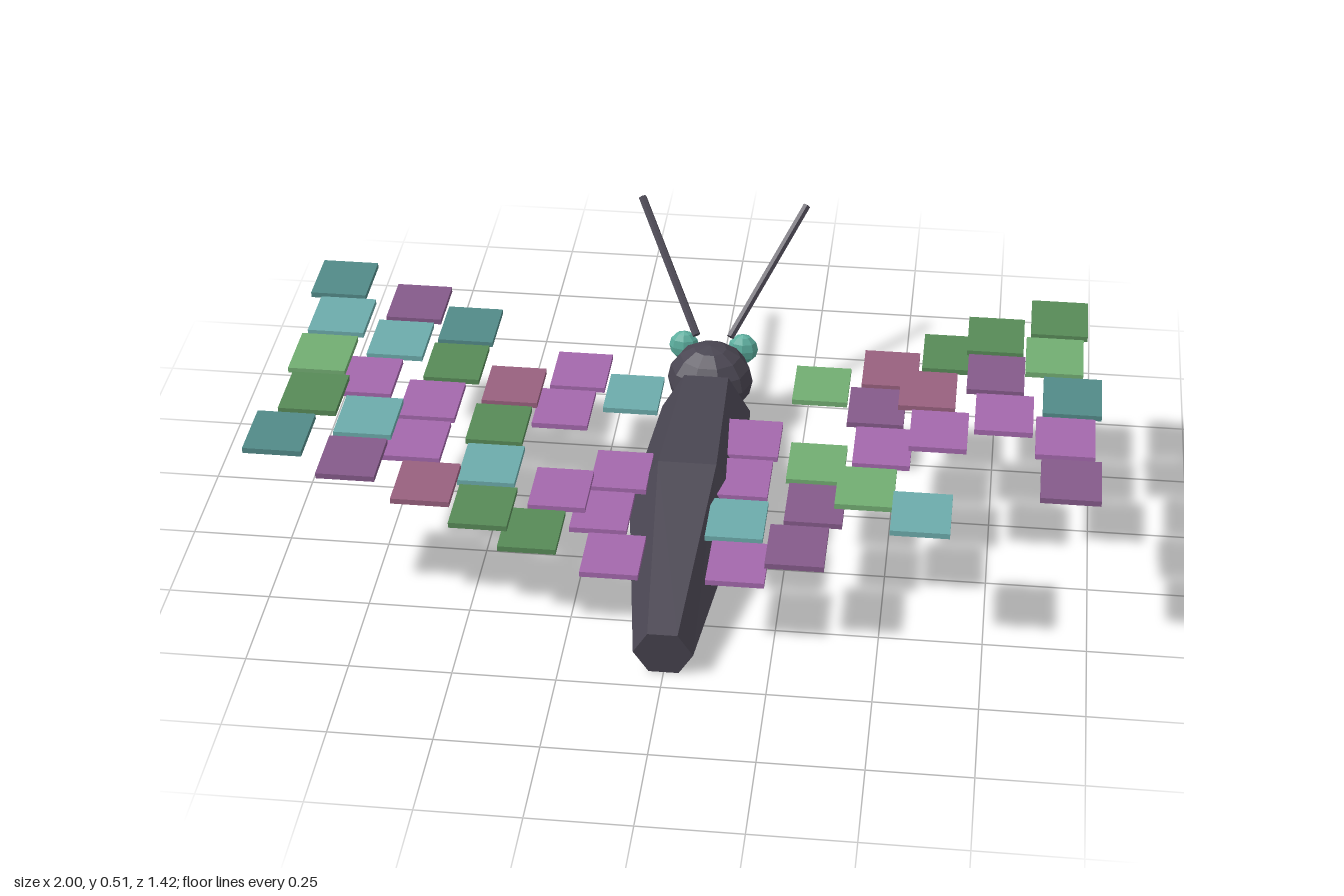
import * as THREE from 'three';

const COLORS = {
  P: 0xa468ac, p: 0x855a8a, // violet, light and dark
  G: 0x72ad72, g: 0x578a57, // green
  T: 0x6cabab, t: 0x528a88, // teal
  R: 0x98607e, // rose
  dark: 0x4a4652, eye: 0x5cae9e,
};

const material = (key) => new THREE.MeshStandardMaterial({ color: COLORS[key], flatShading: true });

function add(parent, name, geometry, mat) {
  const mesh = new THREE.Mesh(geometry, mat);
  mesh.name = name;
  parent.add(mesh);
  return mesh;
}

// Hexagonal loft along z; each ring is [z, y, radius, tilt]
function hexLoft(rings) {
  const pos = [], index = [], n = 6;
  for (const [z, y, r, tilt] of rings) {
    for (let i = 0; i < n; i++) {
      const a = (i / n) * Math.PI * 2, h = r * Math.sin(a);
      pos.push(r * Math.cos(a), y + h * Math.cos(tilt), z + h * Math.sin(tilt));
    }
  }
  for (let k = 0; k < rings.length - 1; k++) {
    for (let i = 0; i < n; i++) {
      const a = k * n + i, b = k * n + (i + 1) % n;
      index.push(a, b, a + n, b, b + n, a + n);
    }
  }
  const last = (rings.length - 1) * n;
  for (let i = 1; i < n - 1; i++) {
    index.push(0, i + 1, i);
    index.push(last, last + i, last + i + 1);
  }
  const g = new THREE.BufferGeometry();
  g.setAttribute('position', new THREE.Float32BufferAttribute(pos, 3));
  g.setIndex(index);
  g.computeVertexNormals();
  return g;
}

// Wing scales, head row to tail row. Each entry is colour and x distance,
// listed from the innermost step outward; null leaves a gap.
const LEFT = [
  [null, ['G', 0.305], ['R', 0.48], ['g', 0.63], ['g', 0.74], ['g', 0.895]],
  [['P', 0.145], null, ['p', 0.455], ['R', 0.58], ['p', 0.745], ['G', 0.885]],
  [['P', 0.135], ['G', 0.32], ['P', 0.48], ['P', 0.615], ['P', 0.77], ['t', 0.93]],
  [['T', 0.14], ['p', 0.33], ['G', 0.45], null, null, ['P', 0.915]],
  [['P', 0.16], ['p', 0.3], null, ['T', 0.59], null, ['p', 0.93]],
];
const RIGHT = [
  [['T', 0.18], ['P', 0.315], null, ['t', 0.6], ['p', 0.73], ['t', 0.92]],
  [null, ['P', 0.335], ['R', 0.46], ['g', 0.605], ['T', 0.745], ['T', 0.89]],
  [['P', 0.165], null, ['g', 0.47], ['P', 0.635], ['P', 0.79], ['G', 0.9]],
  [['P', 0.19], ['P', 0.29], ['T', 0.46], ['P', 0.64], ['T', 0.755], ['g', 0.885]],
  [['P', 0.14], ['g', 0.335], ['g', 0.45], ['R', 0.585], ['p', 0.76], ['t', 0.93]],
];

function buildWing(name, side, rows) {
  const wing = new THREE.Group();
  wing.name = name;
  const tile = new THREE.BoxGeometry(0.14, 0.014, 0.162);
  rows.forEach((row, r) => row.forEach((entry, step) => {
    if (!entry) return;
    const scale = add(wing, 'wingScale', tile, material(entry[0]));
    scale.position.set(side * entry[1], 0.2175 + step * 0.059, -0.183 + r * 0.178);
  }));
  return wing;
}

export function createModel() {
  const model = new THREE.Group();
  model.name = 'moth';
  const dark = material('dark');

  // Faceted body tapering to the tail
  add(model, 'body', hexLoft([
    [-0.255, 0.14, 0.115, 0],
    [0.185, 0.14, 0.145, 0],
    [0.7, 0.067, 0.072, 0.14],
  ]), dark);

  // Head
  const head = add(model, 'head', new THREE.SphereGeometry(0.102, 10, 8), dark);
  head.scale.x = 1.1;
  head.position.set(0, 0.172, -0.351);

  for (const side of [1, -1]) {
    // Eye
    const eye = add(model, side > 0 ? 'leftEye' : 'rightEye',
      new THREE.SphereGeometry(1, 8, 6), material('eye'));
    eye.scale.set(0.04, 0.043, 0.025);
    eye.position.set(side * 0.078, 0.217, -0.437);

    // Antenna, a straight slender rod
    const from = new THREE.Vector3(side * 0.045, 0.255, -0.43);
    const to = new THREE.Vector3(side * 0.22, 0.509, -0.703);
    const dir = to.clone().sub(from);
    const antenna = add(model, side > 0 ? 'leftAntenna' : 'rightAntenna',
      new THREE.CylinderGeometry(0.011, 0.011, dir.length(), 6), dark);
    antenna.position.copy(from).add(to).multiplyScalar(0.5);
    antenna.quaternion.setFromUnitVectors(new THREE.Vector3(0, 1, 0), dir.normalize());
  }

  // Stepped wings
  model.add(buildWing('leftWing', 1, LEFT), buildWing('rightWing', -1, RIGHT));
  return model;
}
